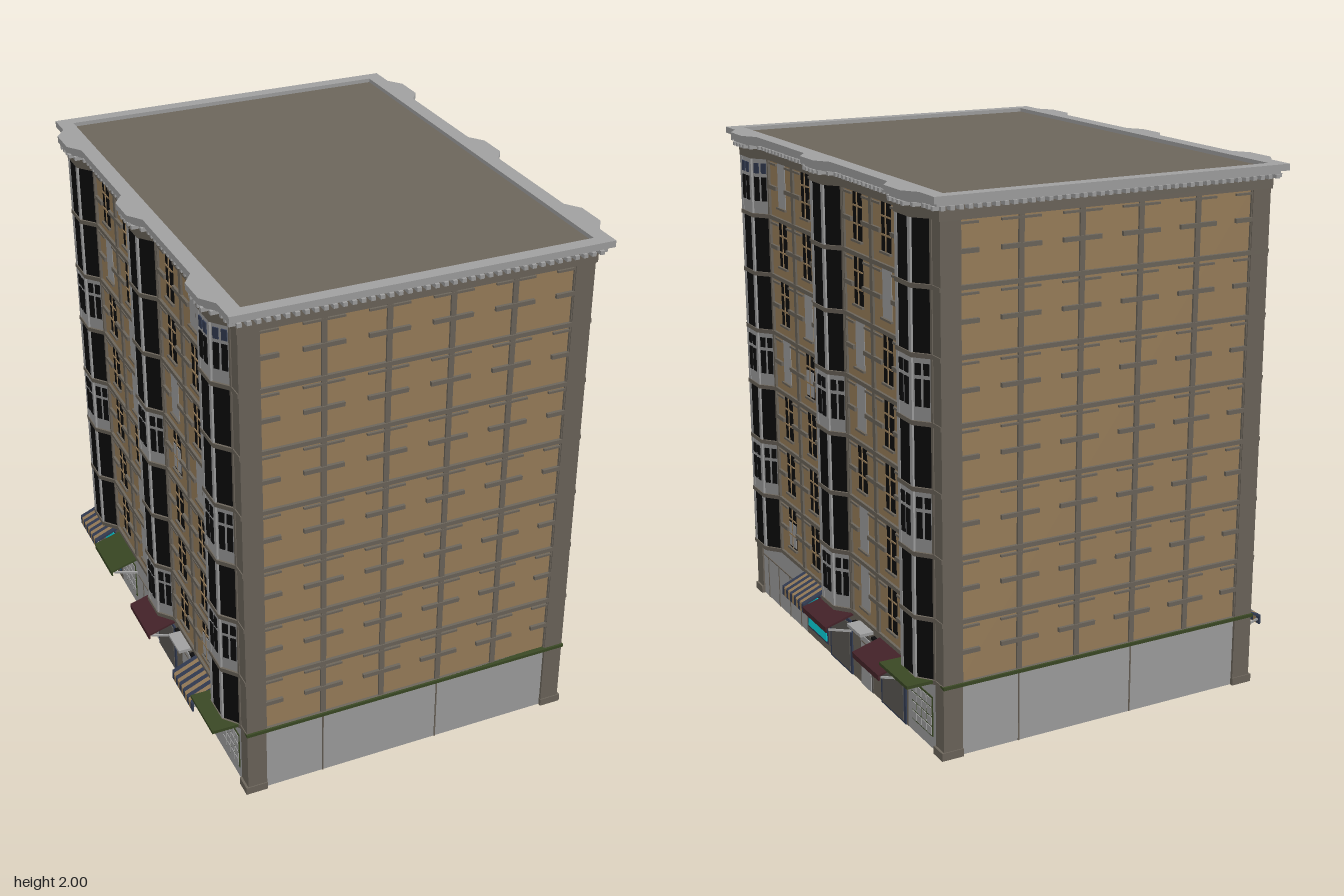
import * as THREE from 'three';

const mat = (name, color, side = THREE.FrontSide) => {
  const m = new THREE.MeshStandardMaterial({ color, side });
  m.name = name;
  return m;
};
const tan = mat('tan brick', 0x9a7f5b);
const taupe = mat('taupe stone', 0x6c655b);
const grey = mat('pale grey', 0xa0a0a0);
const black = mat('dark glass', 0x0c0c0d);
const cyan = mat('cyan display', 0x0ad8e0);
const green = mat('green canvas', 0x3a4824);
const red = mat('dark red canvas', 0x46242a);
const navy = mat('navy', 0x343d54);
const panel = mat('shop panel grey', 0x5c5954);

const M = 0.235;            // width of one facade module, and height of one storey
const Y0 = 0.275;           // top of the ground storey
const TOP = Y0 + 7 * M;     // underside of the cornice
const WALL = 0.64;          // side wall plane
const BAYS = [0.705, 0, -0.705];

function box(parent, name, material, w, h, d, x, y, z) {
  const m = new THREE.Mesh(new THREE.BoxGeometry(w, h, d), material);
  m.name = name;
  m.position.set(x, y, z);
  parent.add(m);
  return m;
}

// Horizontal course around the building that swells out over every bay
function course(parent, name, material, hx, hz, bulge, y, h, inner) {
  const s = new THREE.Shape();
  const side = (sx, sign) => {
    for (const c of BAYS) {
      const z = c * sign;
      s.lineTo(sx * hx, z + sign * 0.118);
      s.lineTo(sx * (hx + bulge), z + sign * 0.06);
      s.lineTo(sx * (hx + bulge), z - sign * 0.06);
      s.lineTo(sx * hx, z - sign * 0.118);
    }
  };
  s.moveTo(hx, hz);
  side(1, 1);
  s.lineTo(hx, -hz);
  s.lineTo(-hx, -hz);
  side(-1, -1);
  s.lineTo(-hx, hz);
  if (inner) {
    const [a, b] = inner;
    const p = new THREE.Path();
    p.moveTo(-a, -b); p.lineTo(a, -b); p.lineTo(a, b); p.lineTo(-a, b); p.closePath();
    s.holes.push(p);
  }
  const g = new THREE.ExtrudeGeometry(s, { depth: h, bevelEnabled: false });
  g.rotateX(-Math.PI / 2);
  const m = new THREE.Mesh(g, material);
  m.name = name;
  m.position.y = y;
  parent.add(m);
}

// One storey of a three-sided bay
function bay(parent, s, z, y, lit) {
  const g = new THREE.Group();
  g.name = 'bayStorey';
  parent.add(g);
  const pts = [[0.65, 0.112], [0.7, 0.05], [0.7, -0.05], [0.65, -0.112]];
  for (let i = 0; i < 3; i++) {
    const [ax, az] = pts[i], [bx, bz] = pts[i + 1];
    const len = Math.hypot(bx - ax, bz - az);
    const f = new THREE.Group();
    f.name = 'bayFacet';
    f.position.set(s * (ax + bx) / 2, y, z + (az + bz) / 2);
    f.rotation.y = s * Math.atan2(az - bz, bx - ax) + (s > 0 ? Math.PI / 2 : -Math.PI / 2) - s * Math.PI;
    f.rotation.y = Math.atan2(s * (bx - ax), bz - az);
    g.add(f);
    box(f, 'bayPane', lit ? grey : black, 0.008, M, len, 0, M / 2, 0);
    if (lit) for (const k of [-1, 1]) {
      box(f, 'bayLowerGlass', black, 0.016, 0.095, len * 0.27, 0, 0.105, k * len * 0.2);
      box(f, 'bayUpperGlass', lit === 2 ? navy : black, 0.016, 0.04, len * 0.27, 0, 0.187, k * len * 0.2);
    }
  }
  for (const k of [-1, 1]) {
    box(g, 'bayMullion', grey, 0.014, M, 0.02, s * 0.699, y + M / 2, z + k * 0.048);
    box(g, 'bayEdgePost', taupe, 0.02, M, 0.014, s * 0.65, y + M / 2, z + k * 0.114);
  }
}

// Tall sash window; kind is 0 dark, 1 blind down, 2 half blind
function sash(parent, s, z, y, kind) {
  const g = new THREE.Group();
  g.name = 'window';
  parent.add(g);
  const cy = y + 0.138;
  box(g, 'windowGlass', kind === 1 ? grey : black, 0.024, 0.175, 0.074, s * WALL, cy, z);
  if (kind === 2) box(g, 'halfBlind', grey, 0.028, 0.1, 0.07, s * WALL, cy - 0.03, z);
  if (kind !== 1) {
    box(g, 'windowMullion', tan, 0.03, 0.175, 0.006, s * WALL, cy, z);
    for (const dy of [0.035, -0.03]) box(g, 'windowBar', tan, 0.03, 0.006, 0.074, s * WALL, cy + dy, z);
  }
  box(g, 'windowSill', taupe, 0.03, 0.008, 0.085, s * (WALL + 0.005), y + 0.046, z);
}

// Sloping slat running out from the wall
function slope(parent, name, material, s, z, w, ya, xb, yb) {
  const xa = 0.645, a = Math.atan2(yb - ya, xb - xa);
  const m = box(parent, name, material, Math.hypot(xb - xa, yb - ya), 0.008, w, s * (xa + xb) / 2, (ya + yb) / 2, z);
  m.rotation.z = s * a;
}

function awning(parent, s, z, kind) {
  const g = new THREE.Group();
  g.name = 'awning';
  parent.add(g);
  if (kind === 'flat') {
    box(g, 'flatCanopy', green, 0.12, 0.012, 0.225, s * 0.706, 0.277, z);
  } else if (kind === 'striped') {
    for (let i = 0; i < 11; i++) {
      const m = i % 2 ? tan : navy, sz = z + (i - 5) * 0.02;
      slope(g, 'awningStripe', m, s, sz, 0.02, 0.272, 0.755, 0.225);
      box(g, 'awningValance', m, 0.006, 0.035, 0.02, s * 0.754, 0.208, sz);
    }
  } else {
    slope(g, 'awningCanvas', kind === 'red' ? red : green, s, z, 0.225, 0.258, 0.766, 0.222);
    box(g, 'awningValance', kind === 'red' ? red : green, 0.006, 0.018, 0.225, s * 0.763, 0.213, z);
  }
  if (kind !== 'flat') for (const k of [-1, 1]) slope(g, 'awningStrut', grey, s, z + k * 0.1, 0.006, 0.18, 0.75, 0.21);
}

// Ground-storey module: [type, awning]
function shop(parent, s, z, [type, cover]) {
  const g = new THREE.Group();
  g.name = 'shopFront';
  parent.add(g);
  const put = (name, m, out, h, w, y, dz = 0) => box(g, name, m, 0.02 + out, h, w, s * WALL, y, z + dz);
  const plain = ['shutter', 'grid', 'glass'].includes(type);
  put('shopWall', plain ? grey : taupe, 0, Y0, M, Y0 / 2);
  if (type === 'shutter') {
    put('shutterRail', taupe, 0.006, 0.005, M, 0.18);
    for (const k of [-1, 1]) put('shutterSeam', taupe, 0.006, 0.18, 0.004, 0.09, k * 0.058);
  } else if (type === 'cyan') {
    put('windowFrame', navy, 0.006, 0.18, 0.205, 0.12);
    put('displayWindow', cyan, 0.012, 0.155, 0.185, 0.118);
  } else if (type === 'panel') {
    put('shopFrame', navy, 0.01, 0.225, 0.21, 0.113);
    put('shopPanel', panel, 0.016, 0.2, 0.175, 0.11);
  } else if (type === 'door') {
    put('doorFrame', panel, 0.006, 0.222, 0.108, 0.111);
    put('door', grey, 0.014, 0.205, 0.085, 0.105);
    put('doorPane', taupe, 0.018, 0.006, 0.06, 0.185);
    put('doorHandle', black, 0.024, 0.025, 0.008, 0.1, 0.03);
    box(g, 'doorCanopy', grey, 0.06, 0.012, 0.12, s * 0.675, 0.25, z);
    for (const k of [-1, 1]) put('wallLamp', black, 0.03, 0.01, 0.03, 0.238, k * 0.085);
  } else {
    const m = type === 'grid' ? green : black;
    put('shopWindow', m, 0.006, 0.155, 0.165, 0.125);
    for (let i = 0; i < 4; i++) for (let j = 0; j < 4; j++)
      put('shopPane', grey, 0.012, 0.031, 0.033, 0.069 + j * 0.037, (i - 1.5) * 0.04);
  }
  if (cover) awning(g, s, z, cover);
}

export function createModel() {
  const root = new THREE.Group();
  root.name = 'apartmentBuilding';
  const litBays = [[0, 1, 0, 1, 0, 0, 2], [1, 0, 0, 1, 0, 0, 0], [0, 0, 1, 0, 1, 0, 0]];
  const sashes = [[2, 0, 0, 1, 0, 0, 1], [0, 0, 0, 2, 1, 0, 0], [1, 1, 0, 1, 1, 0, 0], [0, 0, 0, 0, 0, 1, 0]];
  const shops = {
    '1': [['shutter'], ['shutter'], ['cyan', 'striped'], ['panel', 'red'], ['door'], ['panel', 'red'], ['grid', 'flat']],
    '-1': [['grid', 'flat'], ['glass', 'striped'], ['door'], ['panel', 'red'], ['shutter'], ['grid', 'green'], ['cyan', 'striped']],
  };

  for (const s of [1, -1]) {
    // Long street facades: bays, windowed walls and shops
    const side = new THREE.Group();
    side.name = s > 0 ? 'leftFacade' : 'rightFacade';
    root.add(side);
    shops[s].forEach((d, i) => shop(side, s, (3 - i) * M, d));
    BAYS.forEach((z, b) => litBays[b].forEach((lit, f) => bay(side, s, z, Y0 + f * M, lit)));
    [2, 1, -1, -2].forEach((k, c) => {
      box(side, 'brickWall', tan, 0.02, TOP - Y0, M, s * WALL, (TOP + Y0) / 2, k * M);
      sashes[c].forEach((kind, f) => sash(side, s, k * M, Y0 + f * M, kind));
    });
    for (let k = -3; k <= 3; k += 2) {
      const z = k * M / 2;
      box(side, 'pilaster', taupe, 0.03, TOP - Y0, 0.022, s * 0.643, (TOP + Y0) / 2, z);
    }
    for (let f = 0; f < 7; f++) for (const k of [-2.5, -1.5, -0.5, 0.5, 1.5, 2.5]) {
      // string courses stop at the bays and at the window openings
      const inward = Math.abs(k) === 1.5 ? 0 : (Math.abs(k) === 2.5 ? -1 : 1) * Math.sign(k);
      const w = inward ? 0.07 : 0.15, z = k * M + inward * 0.04;
      box(side, 'stringCourse', taupe, 0.03, 0.016, w, s * 0.645, Y0 + f * M + 0.12, z);
      box(side, 'lintelCourse', taupe, 0.024, 0.008, w, s * 0.645, Y0 + f * M + 0.212, z);
    }

    // Blank end walls
    const end = new THREE.Group();
    end.name = s > 0 ? 'frontWall' : 'backWall';
    root.add(end);
    box(end, 'endBrick', tan, 1.18, TOP - Y0, 0.02, 0, (TOP + Y0) / 2, s * 0.86);
    box(end, 'endBase', grey, 1.18, Y0, 0.02, 0, Y0 / 2, s * 0.862);
    for (const x of [-1.5, 0.5]) box(end, 'baseSeam', taupe, 0.005, Y0, 0.004, s * x * M, Y0 / 2, s * 0.873);
    box(end, 'greenTrim', green, 1.32, 0.012, 0.03, 0, 0.277, s * 0.875);
    for (let k = -2.5; k <= 2.5; k++) {
      const edge = Math.abs(k) === 2.5 ? Math.sign(k) : 0;
      const x = k * M - edge * 0.04, w = edge ? 0.07 : 0.15;
      box(end, 'pilaster', taupe, 0.02, TOP - Y0, 0.012, k * M, (TOP + Y0) / 2, s * 0.872);
      for (let f = 0; f < 7; f++) {
        box(end, 'stringCourse', taupe, w, 0.016, 0.016, x, Y0 + f * M + 0.12, s * 0.874);
        box(end, 'lintelCourse', taupe, w, 0.008, 0.012, x, Y0 + f * M + 0.212, s * 0.873);
      }
    }

    // Corner piers
    for (const t of [1, -1]) {
      box(root, 'cornerPier', taupe, 0.075, TOP, 0.062, s * 0.619, TOP / 2, t * 0.851);
      box(root, 'pierBase', taupe, 0.085, 0.03, 0.068, s * 0.623, 0.015, t * 0.852);
    }
  }

  // Floor bands
  for (let f = 0; f < 7; f++) course(root, 'floorBand', taupe, 0.66, 0.882, 0.048, Y0 + f * M - 0.008, 0.016, [0.62, 0.85]);

  // Cornice, dentils, parapet rim and sunken roof
  course(root, 'frieze', taupe, 0.662, 0.887, 0.045, TOP - 0.01, 0.055, [0.62, 0.85]);
  course(root, 'corniceStep', grey, 0.68, 0.905, 0.042, 1.962, 0.015, [0.62, 0.86]);
  course(root, 'cornice', grey, 0.7, 0.928, 0.04, 1.976, 0.024, [0.642, 0.878]);
  box(root, 'roof', taupe, 1.3, 0.01, 1.77, 0, 1.98, 0);
  for (const s of [1, -1]) {
    for (let i = -20; i <= 20; i++) box(root, 'endDentil', grey, 0.016, 0.014, 0.03, i * 0.033, 1.956, s * 0.9);
    for (let i = -27; i <= 27; i++) {
      const z = i * 0.033;
      const d = Math.min(...BAYS.map((c) => Math.abs(z - c)));
      const out = 0.042 * THREE.MathUtils.clamp((0.118 - d) / 0.058, 0, 1);
      box(root, 'sideDentil', grey, 0.03, 0.014, 0.016, s * (0.675 + out), 1.956, z);
    }
  }
  return root;
}
